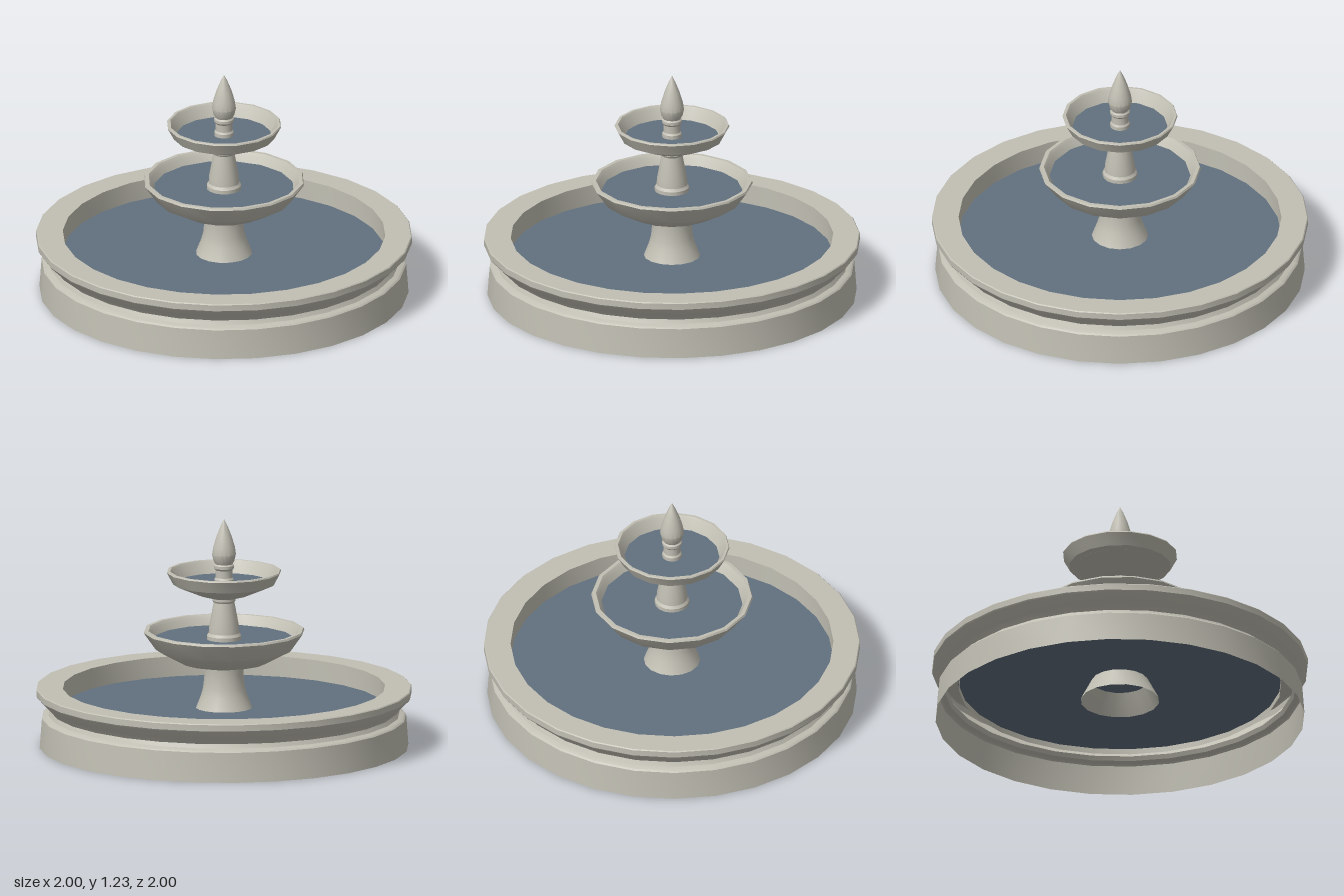
import * as THREE from 'three';
import { toCreasedNormals } from 'three/addons/utils/BufferGeometryUtils.js';

const stone = new THREE.MeshStandardMaterial({ color: 0xc2c0b4, side: THREE.DoubleSide });
const water = new THREE.MeshStandardMaterial({ color: 0x62717f, side: THREE.DoubleSide });

// Revolve an [radius, height] profile; sharp profile corners stay creased
function turned(name, profile, segments) {
  const points = profile.map(([r, y]) => new THREE.Vector2(r, y));
  const geometry = toCreasedNormals(new THREE.LatheGeometry(points, segments), 0.5);
  const mesh = new THREE.Mesh(geometry, stone);
  mesh.name = name;
  return mesh;
}

// Flat water surface
function pool(name, radius, y, segments) {
  const mesh = new THREE.Mesh(new THREE.CircleGeometry(radius, segments).rotateX(-Math.PI / 2), water);
  mesh.name = name;
  mesh.position.y = y;
  return mesh;
}

export function createModel() {
  const fountain = new THREE.Group();
  fountain.name = 'fountain';

  // Ground basin: open below, moulded wall and broad rim
  fountain.add(
    turned('basin', [
      [0.982, 0], [0.97, 0.16], [0.962, 0.168], [0.935, 0.176], [0.924, 0.198],
      [0.945, 0.225], [0.994, 0.273], [1, 0.282], [1, 0.315], [0.995, 0.32],
      [0.858, 0.32], [0.858, 0.18],
    ], 28),
    pool('basinWater', 0.86, 0.21, 28),
  );

  // Flared pedestal, open at the foot
  fountain.add(turned('lowerColumn', [
    [0.21, 0.095], [0.15, 0.21], [0.123, 0.28], [0.112, 0.32], [0.104, 0.4], [0.106, 0.42], [0.106, 0.435],
  ], 16));

  // Large bowl
  fountain.add(
    turned('lowerBowl', [
      [0, 0.425], [0.095, 0.428], [0.23, 0.457], [0.365, 0.53], [0.43, 0.622],
      [0.425, 0.632], [0.405, 0.632], [0.392, 0.615], [0.36, 0.55],
    ], 16),
    pool('lowerBowlWater', 0.376, 0.58, 16),
  );

  // Tapering middle column with foot collar
  fountain.add(turned('upperColumn', [
    [0.092, 0.57], [0.092, 0.6], [0.082, 0.615], [0.08, 0.65], [0.056, 0.78], [0.062, 0.79], [0.062, 0.805],
  ], 16));

  // Small bowl
  fountain.add(
    turned('upperBowl', [
      [0, 0.797], [0.05, 0.799], [0.135, 0.823], [0.272, 0.882], [0.306, 0.945],
      [0.302, 0.952], [0.288, 0.952], [0.28, 0.94], [0.245, 0.87],
    ], 16),
    pool('upperBowlWater', 0.253, 0.885, 16),
  );

  // Bud-shaped finial on its collar
  fountain.add(turned('finial', [
    [0.052, 0.87], [0.052, 0.905], [0.045, 0.915], [0.045, 0.955], [0.053, 0.965], [0.053, 0.98],
    [0.046, 0.988], [0.056, 1.005], [0.064, 1.04], [0.058, 1.08], [0.04, 1.14], [0.018, 1.195], [0, 1.23],
  ], 16));

  return fountain;
}
